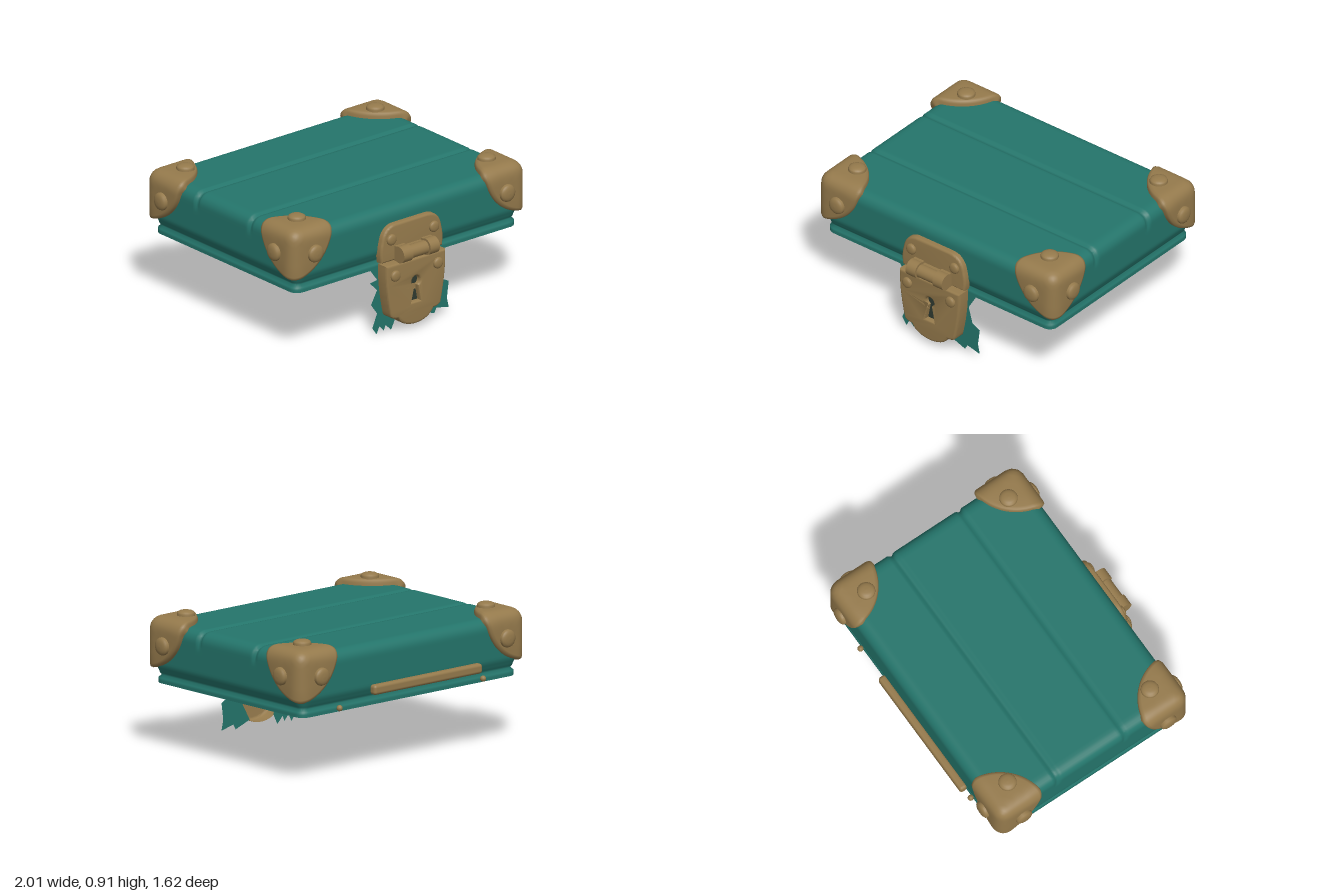
import * as THREE from 'three';
import { mergeVertices, toCreasedNormals } from 'three/addons/utils/BufferGeometryUtils.js';
import { RoundedBoxGeometry } from 'three/addons/geometries/RoundedBoxGeometry.js';

const material = (name, color) => {
  const m = new THREE.MeshStandardMaterial({ color, side: THREE.DoubleSide });
  m.name = name;
  return m;
};
const teal = material('teal', 0x24756b);
const brass = material('brass', 0x957a4c);
const dark = material('keyhole dark', 0x2f3a30);

const CZ = -0.04; // centre of the lid in z
const { smoothstep } = THREE.MathUtils;

function add(parent, name, geo, mat, x = 0, y = 0, z = 0) {
  const mesh = new THREE.Mesh(geo, mat);
  mesh.name = name;
  mesh.position.set(x, y, z);
  parent.add(mesh);
  return mesh;
}

// Keep only triangles whose centroid passes the test, then weld.
function keep(geo, test) {
  const src = geo.index ? geo.toNonIndexed() : geo;
  const p = src.attributes.position.array;
  const out = [];
  for (let i = 0; i < p.length; i += 9) {
    const c = [0, 1, 2].map(k => (p[i + k] + p[i + 3 + k] + p[i + 6 + k]) / 3);
    if (test(...c)) for (let k = 0; k < 9; k++) out.push(p[i + k]);
  }
  const g = new THREE.BufferGeometry();
  g.setAttribute('position', new THREE.Float32BufferAttribute(out, 3));
  const welded = mergeVertices(g, 1e-4);
  welded.computeVertexNormals();
  return welded;
}

// Hollow lid: a rounded box, open below, with two grooves and a flared rim.
function lidGeometry() {
  const hx = 0.93, hz = 0.71, top = 0.847, bottom = 0.45, rad = 0.075;
  const geo = new THREE.BoxGeometry(2 * hx, top - bottom, 2 * hz, 80, 24, 100);
  geo.translate(0, (top + bottom) / 2, 0);
  const pos = geo.attributes.position;
  const p = new THREE.Vector3(), q = new THREE.Vector3(), n = new THREE.Vector3();
  for (let i = 0; i < pos.count; i++) {
    p.fromBufferAttribute(pos, i);
    q.set(THREE.MathUtils.clamp(p.x, -hx + rad, hx - rad), Math.min(p.y, top - rad),
      THREE.MathUtils.clamp(p.z, -hz + rad, hz - rad));
    n.subVectors(p, q).normalize();
    let offset = rad;
    for (const gz of [-0.3, 0.22]) {
      const d = Math.abs(p.z + CZ - gz);
      offset -= 0.016 * (1 - smoothstep(d, 0.004, 0.024)) * smoothstep(p.y, 0.72, 0.8);
    }
    if (p.y > 0.505) offset -= 0.025 * (1 - smoothstep(p.y, 0.505, 0.58));
    else if (p.y > 0.485) offset -= 0.036;
    else offset -= 0.016;
    p.copy(q).addScaledVector(n, offset);
    pos.setXYZ(i, p.x, p.y, p.z + CZ);
  }
  // open underside, with cutouts behind the corner guards and the hasp
  return keep(geo, (x, y, z) =>
    y > bottom + 0.002 &&
    Math.hypot(0.97 - Math.abs(x), 0.885 - y, 0.735 - Math.abs(z - CZ)) > 0.29 &&
    !(z > 0.6 && Math.abs(x) < 0.2 && y > 0.5 && y < 0.7));
}

// Corner guard: three quarter discs bent over a rounded corner at the origin.
function guardGeometry() {
  const rad = 0.09, R = 0.34, steps = 24;
  const rings = [[0, 0], [0.035, 0], [0.07, 0], [0.11, 0], [0.17, 0], [0.24, 0],
    [R - 0.025, 0], [R - 0.007, 0.006], [R, 0.022], [R, 0.055]];
  const verts = [], index = [];
  for (let k = 0; k < 3; k++) {
    const i = (k + 1) % 3, j = (k + 2) % 3, base = verts.length / 3;
    for (const [r, sink] of rings) {
      for (let s = 0; s <= steps; s++) {
        const a = (s / steps) * Math.PI / 2;
        const p = [0, 0, 0];
        p[i] = -r * Math.cos(a);
        p[j] = -r * Math.sin(a);
        const q = p.map(v => Math.min(v, -rad));
        const d = p.map((v, m) => v - q[m]);
        const len = Math.hypot(...d);
        verts.push(...q.map((v, m) => v + d[m] / len * (rad - sink)));
      }
    }
    for (let r = 0; r < rings.length - 1; r++) {
      for (let s = 0; s < steps; s++) {
        const a = base + r * (steps + 1) + s, b = a + steps + 1;
        index.push(a, b, b + 1);
        if (r > 0) index.push(a, b + 1, a + 1);
      }
    }
  }
  const g = new THREE.BufferGeometry();
  g.setAttribute('position', new THREE.Float32BufferAttribute(verts, 3));
  g.setIndex(index);
  const welded = mergeVertices(g, 1e-4);
  welded.computeVertexNormals();
  return welded;
}

// Domed rivet standing on y = 0.
const rivetGeometry = (r, h) => new THREE.LatheGeometry(
  [[1, -0.3], [1, 0.35], [0.93, 0.62], [0.7, 0.85], [0.4, 0.97], [0, 1]]
    .map(([x, y]) => new THREE.Vector2(Math.max(x * r, 1e-4), y * h)), 24);

// Bevelled plate without a back, standing on z = 0.
function plateGeometry(shape, depth, bevel) {
  const geo = new THREE.ExtrudeGeometry(shape, {
    depth: depth - bevel, bevelSize: bevel, bevelOffset: -bevel,
    bevelThickness: bevel, bevelSegments: 3, curveSegments: 16 });
  return toCreasedNormals(keep(geo, (x, y, z) => z > 0), 0.6);
}

function upperPlateShape() {
  const s = new THREE.Shape();
  s.moveTo(-0.25, 0.5);
  s.lineTo(0.25, 0.5);
  s.quadraticCurveTo(0.265, 0.57, 0.245, 0.64);
  s.bezierCurveTo(0.235, 0.7, 0.2, 0.745, 0.13, 0.745);
  s.lineTo(-0.13, 0.745);
  s.bezierCurveTo(-0.2, 0.745, -0.235, 0.7, -0.245, 0.64);
  s.quadraticCurveTo(-0.265, 0.57, -0.25, 0.5);
  return s;
}

function keyholeShape(Type) {
  const s = new Type();
  s.moveTo(-0.036, 0.195);
  s.lineTo(-0.014, 0.305);
  s.absarc(0, 0.335, 0.034, -2.0, -1.14, true);
  s.lineTo(0.036, 0.195);
  return s;
}

function lowerPlateShape() {
  const s = new THREE.Shape();
  s.moveTo(-0.245, 0.49);
  s.quadraticCurveTo(-0.25, 0.33, -0.205, 0.14);
  s.quadraticCurveTo(-0.19, 0.115, -0.145, 0.115);
  s.bezierCurveTo(-0.1, 0.022, 0.1, 0.022, 0.145, 0.115);
  s.quadraticCurveTo(0.19, 0.115, 0.205, 0.14);
  s.quadraticCurveTo(0.25, 0.33, 0.245, 0.49);
  s.closePath();
  s.holes.push(keyholeShape(THREE.Path));
  return s;
}

// Torn scraps of wall on both sides of the lock.
const scraps = [
  [[-0.31, 0.46], [-0.25, 0.38], [-0.31, 0.37], [-0.25, 0.31], [-0.3, 0.22], [-0.25, 0.15], [-0.29, 0.06],
    [-0.255, 0.01], [-0.23, 0.06], [-0.195, 0.02], [-0.18, 0.055], [-0.135, 0.01], [-0.1, 0.08], [-0.17, 0.2], [-0.2, 0.46]],
  [[0.31, 0.46], [0.25, 0.36], [0.28, 0.25], [0.34, 0.22], [0.325, 0.11], [0.34, 0.04], [0.24, 0.065],
    [0.22, 0.03], [0.1, 0.075], [0.17, 0.2], [0.2, 0.46]],
];

export function createModel() {
  const model = new THREE.Group();
  model.name = 'chestLid';
  add(model, 'lidShell', lidGeometry(), teal);

  // corner guards with a rivet on each face
  const guardGeo = guardGeometry(), rivetGeo = rivetGeometry(0.058, 0.033);
  for (let n = 0; n < 4; n++) {
    const guard = new THREE.Group();
    guard.name = 'cornerGuard';
    guard.position.set(n < 2 ? 0.97 : -0.97, 0.888, CZ + (n % 3 === 0 ? 0.735 : -0.735));
    guard.rotation.y = n * Math.PI / 2;
    add(guard, 'guardShell', guardGeo, brass);
    add(guard, 'topRivet', rivetGeo, brass, -0.188, 0, -0.188);
    add(guard, 'frontRivet', rivetGeo, brass, -0.18, -0.175, 0).rotation.x = Math.PI / 2;
    add(guard, 'sideRivet', rivetGeo, brass, 0, -0.175, -0.18).rotation.z = -Math.PI / 2;
    model.add(guard);
  }

  // hasp and lock
  const lock = new THREE.Group();
  lock.name = 'lock';
  model.add(lock);
  add(lock, 'upperPlate', plateGeometry(upperPlateShape(), 0.05, 0.015), brass, 0, 0, 0.66);
  add(lock, 'lowerPlate', plateGeometry(lowerPlateShape(), 0.085, 0.015), brass, 0, 0, 0.665);
  add(lock, 'keyholeRecess', new THREE.ShapeGeometry(keyholeShape(THREE.Shape)), dark, 0, 0, 0.715);
  const smallRivet = rivetGeometry(0.037, 0.022);
  for (const x of [-0.175, 0.175]) {
    add(lock, 'upperRivet', smallRivet, brass, x, 0.65, 0.71).rotation.x = Math.PI / 2;
    add(lock, 'lowerRivet', smallRivet, brass, x, 0.415, 0.75).rotation.x = Math.PI / 2;
  }
  for (const [x, w, r] of [[-0.109, 0.076, 0.055], [0, 0.134, 0.044], [0.109, 0.076, 0.055]]) {
    add(lock, 'hingeBarrel', new THREE.CylinderGeometry(r, r, w, 24), brass, x, 0.55, 0.752).rotation.z = Math.PI / 2;
    add(lock, 'hingeStrap', new THREE.BoxGeometry(w, 2 * r - 0.01, 0.05), brass, x, 0.55, 0.725);
  }
  for (const pts of scraps) {
    const shape = new THREE.Shape(pts.map(([x, y]) => new THREE.Vector2(x, y)));
    add(model, 'tornWall', new THREE.ShapeGeometry(shape), teal, 0, 0, 0.662);
  }

  // back bar and small hinge stubs
  add(model, 'backBar', new RoundedBoxGeometry(0.92, 0.065, 0.055, 3, 0.02), brass, -0.108, 0.555, -0.77);
  for (const x of [-0.61, 0.61]) {
    add(model, 'hingeStub', new THREE.SphereGeometry(0.02, 12, 8), brass, x, 0.475, -0.75);
  }
  return model;
}
